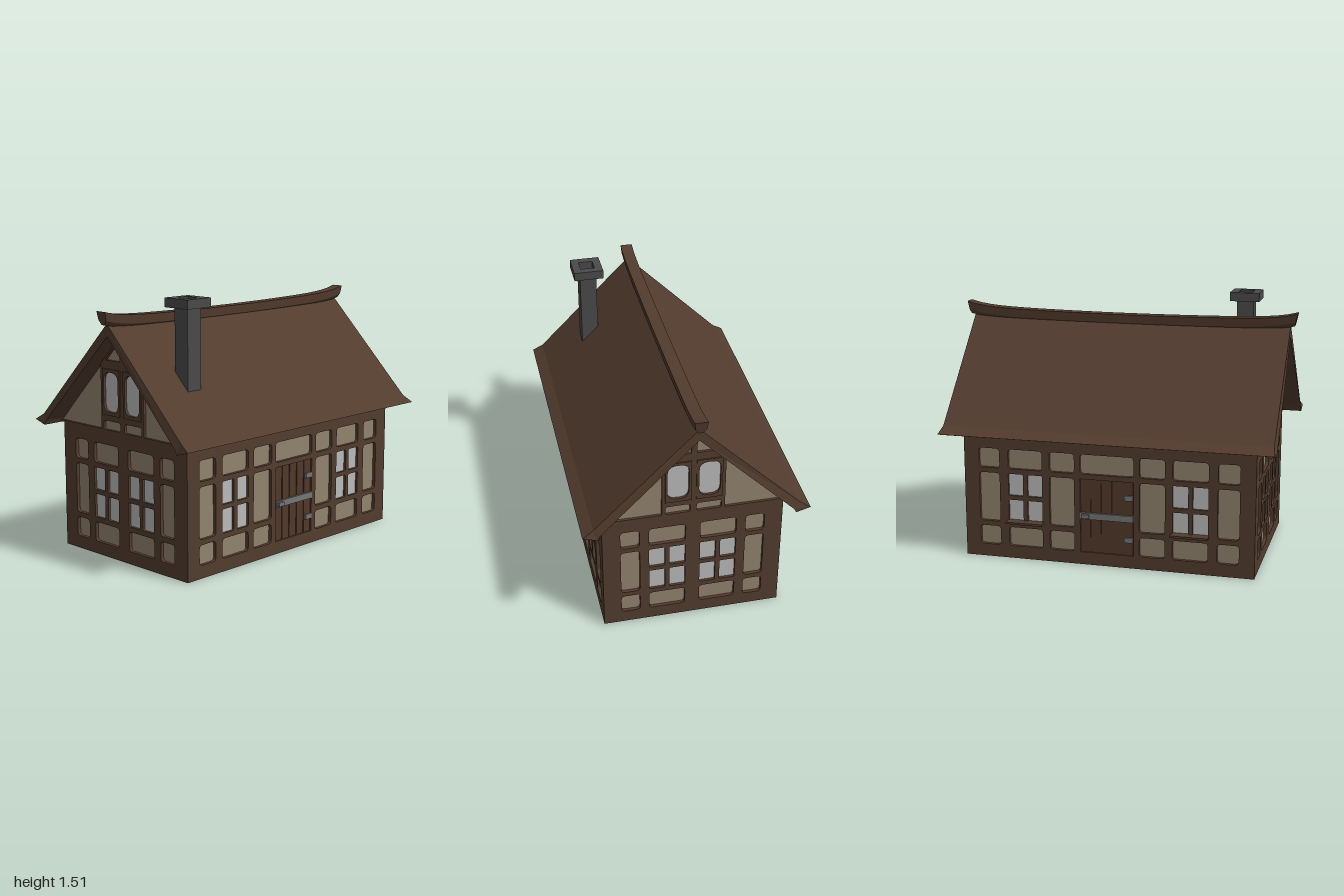
import * as THREE from 'three';

const mat = (name, color) => {
  const m = new THREE.MeshStandardMaterial({ color });
  m.name = name;
  return m;
};

// Rounded rectangle between two corners, as a hole path
function roundRect(x0, x1, y0, y1, r) {
  const p = new THREE.Path();
  p.moveTo(x0 + r, y0);
  p.lineTo(x1 - r, y0).quadraticCurveTo(x1, y0, x1, y0 + r);
  p.lineTo(x1, y1 - r).quadraticCurveTo(x1, y1, x1 - r, y1);
  p.lineTo(x0 + r, y1).quadraticCurveTo(x0, y1, x0, y1 - r);
  p.lineTo(x0, y0 + r).quadraticCurveTo(x0, y0, x0 + r, y0);
  return p;
}

const polygon = (points) => new THREE.Shape(points.map(([x, y]) => new THREE.Vector2(x, y)));
const rect = (x0, x1, y0, y1) => polygon([[x0, y0], [x1, y0], [x1, y1], [x0, y1]]);
const extrude = (shape, depth, steps = 1) =>
  new THREE.ExtrudeGeometry(shape, { depth, steps, bevelEnabled: false, curveSegments: 4 });

export function createModel() {
  const timber = mat('timber', 0x523c2e);
  const doorWood = mat('door wood', 0x51382a);
  const plaster = mat('plaster', 0x91826e);
  const glass = mat('window glass', 0xbababa);
  const iron = mat('iron', 0x757575);
  const stone = mat('chimney stone', 0x4a4a4a);

  const house = new THREE.Group();
  house.name = 'timberHouse';

  const add = (parent, name, geometry, material, x = 0, y = 0, z = 0) => {
    const mesh = new THREE.Mesh(geometry, material);
    mesh.name = name;
    mesh.position.set(x, y, z);
    parent.add(mesh);
    return mesh;
  };
  const box = (parent, name, [w, h, d], material, x, y, z) =>
    add(parent, name, new THREE.BoxGeometry(w, h, d), material, x, y, z);

  const HX = 0.86, HZ = 0.515, TOP = 0.74, INSET = 0.02;
  const ROWS = [[0.075, 0.19], [0.22, 0.515], [0.545, 0.662]];

  // Plaster core with a timber floor
  add(house, 'plasterCore',
    new THREE.BoxGeometry(2 * (HX - INSET), 0.735, 2 * (HZ - INSET)),
    [plaster, plaster, timber, timber, plaster, plaster], 0, 0.3675, 0);

  // Timber wall with openings; each column is [x0, x1, kind]
  function wall(name, halfWidth, distance, columns, angle) {
    const group = new THREE.Group();
    group.name = name;
    group.rotation.y = angle;
    house.add(group);
    const shape = rect(-halfWidth, halfWidth, 0, TOP);
    const core = distance - INSET;
    for (const [x0, x1, kind] of columns) {
      ROWS.forEach(([y0, y1], row) => {
        if (kind === 'door' && row < 2) return;
        if (kind !== 'window' || row !== 1) {
          shape.holes.push(roundRect(x0, x1, y0, y1, 0.022));
          return;
        }
        const mid = (x0 + x1) / 2;
        for (const [a, b] of [[x0, mid - 0.013], [mid + 0.013, x1]])
          for (const [c, d] of [[y0, 0.358], [0.384, y1]])
            shape.holes.push(roundRect(a, b, c, d, 0.01));
        box(group, 'windowGlass', [x1 - x0 + 0.01, y1 - y0 + 0.01, 0.006], glass,
          mid, (y0 + y1) / 2, core + 0.002);
      });
      if (kind === 'door') {
        shape.holes.push(roundRect(x0, x1, 0.075, 0.515, 0.001));
        addDoor(group, x0, x1, core);
      }
    }
    add(group, 'timberFrame', extrude(shape, INSET), timber, 0, 0, core);
    return group;
  }

  // Plank door with a bar, latch and hinges
  function addDoor(group, x0, x1, z) {
    const count = 5, step = (x1 - x0) / count;
    box(group, 'doorBacking', [x1 - x0, 0.44, 0.006], doorWood, 0, 0.295, z + 0.003);
    for (let i = 0; i < count; i++)
      box(group, 'doorPlank', [step - 0.006, 0.44, 0.012], doorWood, x0 + step * (i + 0.5), 0.295, z + 0.006);
    box(group, 'doorBar', [0.315, 0.038, 0.014], iron, 0, 0.296, z + 0.018);
    box(group, 'latch', [0.045, 0.024, 0.014], iron, -0.125, 0.296, z + 0.032);
    for (const y of [0.42, 0.168])
      box(group, 'hinge', [0.05, 0.03, 0.014], iron, 0.13, y, z + 0.017);
  }

  const mirrored = (cols) => cols.flatMap(([a, b, k]) => [[a, b, k], [-b, -a, k]]);
  const longCols = [...mirrored([[0.193, 0.342, 'panel'], [0.386, 0.592, 'window'], [0.645, 0.77, 'panel']]),
    [-0.158, 0.158, 'door']];
  const sideCols = mirrored([[0.042, 0.25, 'window'], [0.303, 0.412, 'panel']]);
  wall('frontWall', HX, HZ, longCols, 0);
  const back = wall('backWall', HX, HZ, longCols, Math.PI);
  wall('leftWall', HZ - INSET, HX, sideCols, Math.PI / 2);
  wall('rightWall', HZ - INSET, HX, sideCols, -Math.PI / 2);

  // Sills under the back windows
  for (const s of [-1, 1])
    box(back, 'windowSill', [0.22, 0.012, 0.06], timber, s * 0.489, 0.228, HZ + 0.015);

  // Attic: plaster gables over a timber soffit
  const atticX = HX - 0.015;
  const attic = extrude(polygon([[-0.555, TOP], [0.555, TOP], [0, 1.31]]), 2 * atticX);
  attic.translate(0, 0, -atticX).rotateY(Math.PI / 2);
  add(house, 'atticGables', attic, [plaster, timber]);

  // Gable timber frames with two rounded windows
  for (const s of [-1, 1]) {
    const group = new THREE.Group();
    group.name = s > 0 ? 'leftGable' : 'rightGable';
    group.rotation.y = s * Math.PI / 2;
    house.add(group);
    const shape = polygon([[-0.178, TOP], [0.178, TOP], [0.178, 1.125], [0, 1.303], [-0.178, 1.125]]);
    for (const m of [-1, 1]) {
      const span = (a, b) => (m > 0 ? [a, b] : [-b, -a]);
      shape.holes.push(roundRect(...span(0.018, 0.158), 0.748, 0.802, 0.015));
      shape.holes.push(roundRect(...span(0.028, 0.148), 0.855, 1.08, 0.05));
      shape.holes.push(polygon([[m * 0.016, 1.147], [m * 0.138, 1.147], [m * 0.016, 1.269]]));
      box(group, 'gableGlass', [0.13, 0.24, 0.006], glass, m * 0.088, 0.967, atticX + 0.002);
      // Raised rim around each window
      const rim = rect(...span(0.014, 0.16), 0.835, 1.098);
      rim.holes.push(roundRect(...span(0.028, 0.148), 0.855, 1.08, 0.05));
      add(group, 'gableWindowRim', extrude(rim, 0.006), timber, 0, 0, HX);
    }
    add(group, 'gableFrame', extrude(shape, 0.015), timber, 0, 0, atticX);
    box(group, 'gableFoot', [1.08, 0.01, 0.015], timber, 0, TOP + 0.005, atticX + 0.0075);
  }

  // Roof slab with flared eaves
  const half = [[0.575, 0.795], [0.637, 0.757], [0.555, 0.733], [0.542, 0.758]];
  const roof = extrude(polygon([[0, 1.37], ...half, [0, 1.3],
    ...half.map(([z, y]) => [-z, y]).reverse()]), 1.92);
  roof.translate(0, 0, -0.96).rotateY(Math.PI / 2);
  const rp = roof.attributes.position;
  for (let i = 0; i < rp.count; i++)
    if (rp.getY(i) < 0.77) rp.setX(i, Math.sign(rp.getX(i)) * 0.973);
  roof.computeVertexNormals();
  add(house, 'roof', roof, timber);

  // Ridge beam sweeping up at both ends
  const ridge = extrude(polygon([[-0.012, 1.32], [0.012, 1.32], [0.031, 1.345],
    [0.036, 1.395], [-0.036, 1.395], [-0.031, 1.345]]), 2, 32);
  ridge.translate(0, 0, -1).rotateY(Math.PI / 2);
  const pp = ridge.attributes.position;
  for (let i = 0; i < pp.count; i++) {
    const x = pp.getX(i), y = pp.getY(i), t = Math.abs(x);
    pp.setX(i, x * (1 - 0.2 * (1.395 - y)));
    pp.setY(i, y + 0.018 * t ** 2 + 0.027 * t ** 10);
  }
  ridge.computeVertexNormals();
  add(house, 'ridgeBeam', ridge, timber);

  // Hollow chimney with a wider cap
  const flue = (name, outer, y0, y1) => {
    const shape = rect(-outer, outer, -outer, outer);
    shape.holes.push(roundRect(-0.042, 0.042, -0.042, 0.042, 0.0005));
    add(house, name, extrude(shape, y1 - y0).rotateX(-Math.PI / 2), stone, -0.652, y0, 0.312);
  };
  flue('chimneyShaft', 0.05, 0.95, 1.465);
  flue('chimneyCap', 0.088, 1.46, 1.512);
  box(house, 'chimneyFloor', [0.09, 0.01, 0.09], stone, -0.652, 1.42, 0.312);

  return house;
}
